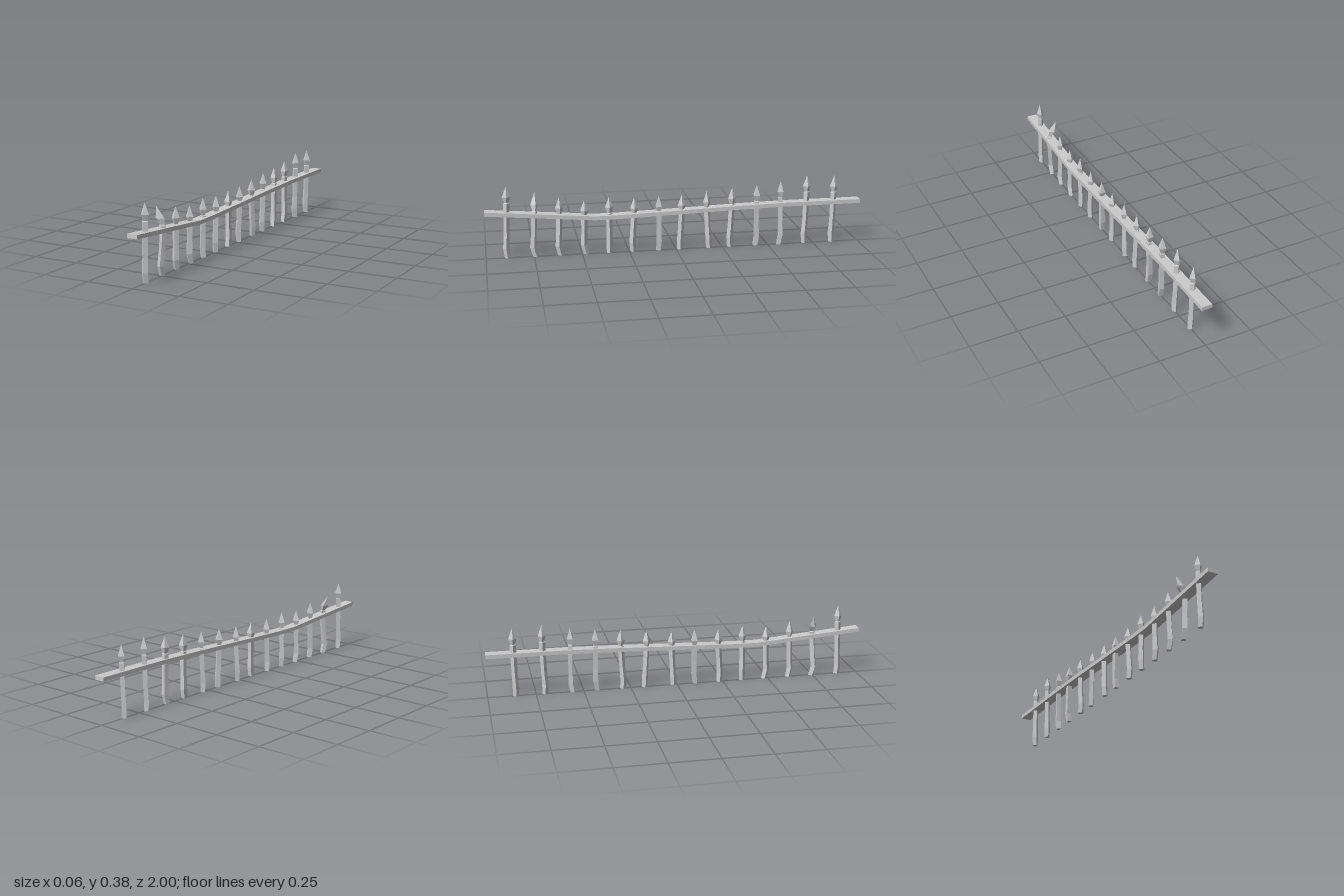
import * as THREE from 'three';

const material = new THREE.MeshStandardMaterial({ color: 0xcccccc, flatShading: true });

// Pickets: z position, tip height, twist, z offsets at foot / shin / shaft top, head tilt in x
const D = 0, S = Math.PI / 4;
const PICKETS = [
  [0.885, 0.385, D, 0.003, 0.009, 0, 0],
  [0.745, 0.338, 0.3, -0.003, 0.011, -0.001, -0.043],
  [0.615, 0.315, 0.15, -0.003, 0.008, 0, 0],
  [0.485, 0.295, D, -0.007, 0.005, 0, 0],
  [0.355, 0.307, D, 0, 0, 0, 0],
  [0.225, 0.295, D, 0.005, 0.009, -0.002, 0],
  [0.093, 0.298, S, 0.003, -0.002, 0, 0],
  [-0.03, 0.3, D, 0.009, 0.008, 0, 0],
  [-0.165, 0.312, 0.2, -0.012, -0.009, 0.001, 0],
  [-0.3, 0.325, D, 0.008, 0.011, -0.001, 0],
  [-0.435, 0.335, S, 0.005, -0.002, 0, 0],
  [-0.565, 0.35, 0.6, 0.006, -0.003, 0, 0],
  [-0.71, 0.375, D, 0.007, 0.01, 0, 0],
  [-0.86, 0.368, D, 0.006, 0.007, 0, 0],
];

// Piecewise linear interpolation through [position, value] knots
function sample(knots, t) {
  for (let i = 1; i < knots.length; i++) {
    const [a, va] = knots[i - 1], [b, vb] = knots[i];
    if (t <= b) return va + (vb - va) * Math.max(0, (t - a) / (b - a));
  }
  return knots[knots.length - 1][1];
}

// Four-sided lathe whose rings slide sideways to give a crooked outline
function crooked(profile, twist, xKnots, zKnots) {
  const geo = new THREE.LatheGeometry(profile.map(([r, y]) => new THREE.Vector2(r, y)), 4);
  geo.rotateY(twist);
  const p = geo.attributes.position;
  for (let i = 0; i < p.count; i++) {
    const y = p.getY(i);
    p.setX(i, p.getX(i) + sample(xKnots, y));
    p.setZ(i, p.getZ(i) + sample(zKnots, y));
  }
  const flat = geo.toNonIndexed();
  flat.computeVertexNormals();
  return flat;
}

function makePicket([z, tip, twist, foot, shin, top, tilt], index) {
  const picket = new THREE.Group();
  picket.name = `picket${index + 1}`;
  picket.position.z = z;
  const neck = tip - 0.088;
  const lean = tilt ? 0.011 : 0;
  const side = tilt ? 0 : [0, -0.003, 0.002][index % 3];
  const xKnots = [[0, 0], [0.05, side], [neck - 0.03, lean], [neck, lean + tilt * 0.15], [tip, lean + tilt]];
  const zKnots = [[0, foot], [0.05, shin], [0.12, shin * 0.5], [neck, top], [tip, tilt ? -0.006 : top]];

  // Shaft
  const shaft = new THREE.Mesh(crooked([
    [0, 0], [0.0155, 0], [0.017, 0.05], [0.0155, 0.12],
    [0.0165, neck - 0.03], [0.0165, neck - 0.004], [0.012, neck], [0, neck],
  ], twist, xKnots, zKnots), material);
  shaft.name = 'shaft';

  // Spear head
  const head = new THREE.Mesh(crooked([
    [0, neck - 0.002], [0.011, neck - 0.002], [0.0215, neck + 0.03], [0, tip],
  ], twist, xKnots, zKnots), material);
  head.name = 'spearHead';

  picket.add(shaft, head);
  return picket;
}

// Sagging rail the pickets pass through
function makeRail() {
  const path = [[1, 0.247], [0.72, 0.224], [0.43, 0.2], [0.3, 0.201], [-0.03, 0.211],
    [-0.33, 0.221], [-0.6, 0.227], [-1, 0.228]];
  const half = 0.0105;
  const outline = [
    ...path.map(([z, y]) => new THREE.Vector2(z, y + half)),
    ...path.slice().reverse().map(([z, y]) => new THREE.Vector2(z, y - half)),
  ];
  const geo = new THREE.ExtrudeGeometry(new THREE.Shape(outline), { depth: 0.056, bevelEnabled: false });
  geo.rotateY(-Math.PI / 2).translate(0.032, 0, 0);
  const rail = new THREE.Mesh(geo, material);
  rail.name = 'rail';
  return rail;
}

export function createModel() {
  const fence = new THREE.Group();
  fence.name = 'fence';
  fence.add(makeRail(), ...PICKETS.map(makePicket));
  return fence;
}
